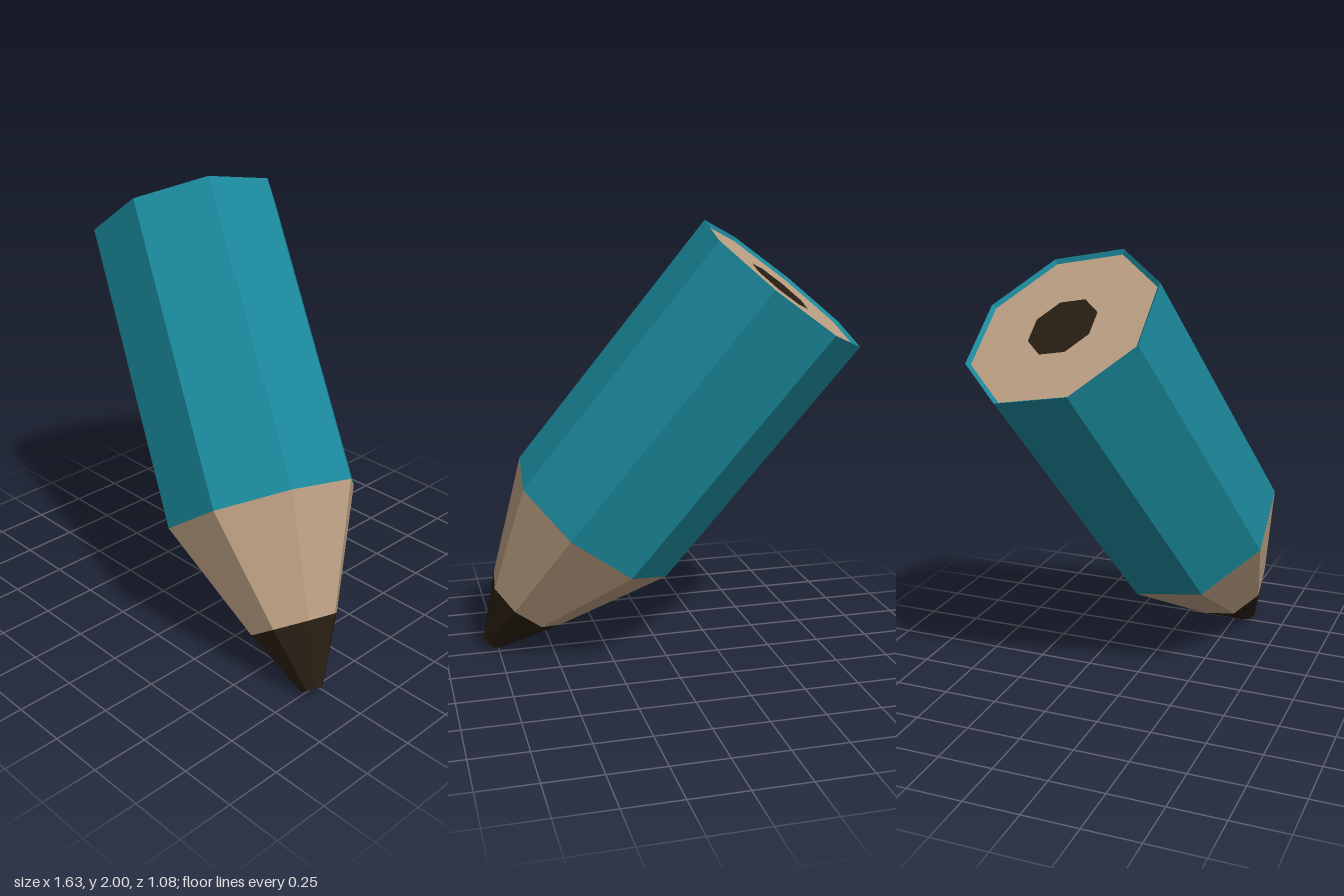
import * as THREE from 'three';

const SIDES = 8;

// One faceted section of the pencil, from [radius, distance below the blunt end] points,
// listed from the tip upwards.
function section(name, color, points) {
  const profile = points.map(([r, t]) => new THREE.Vector2(r, -t));
  const mesh = new THREE.Mesh(
    new THREE.LatheGeometry(profile, SIDES),
    new THREE.MeshStandardMaterial({ color, flatShading: true })
  );
  mesh.name = name;
  return mesh;
}

export function createModel() {
  const TEAL = 0x1a8799, WOOD = 0xbb9f82, LEAD = 0x271d12;
  const R = 0.433, bodyEnd = 1.367, woodEnd = 1.887, tipEnd = 2.168;
  const rimR = 0.415, rimDepth = 0.015, coreR = 0.155, leadR = 0.198;

  const pencil = new THREE.Group();
  pencil.name = 'pencil';
  pencil.add(
    // painted barrel with a thin lip sloping into the blunt end
    section('paintedBody', TEAL, [[R, bodyEnd], [R, 0], [rimR, rimDepth]]),
    // sharpened wooden cone
    section('woodCone', WOOD, [[leadR, woodEnd], [R, bodyEnd]]),
    // pointed lead with a small flat end
    section('leadTip', LEAD, [[0, tipEnd], [0.05, tipEnd], [leadR, woodEnd]]),
    // cut face at the blunt end: wood ring and lead core
    section('woodEnd', WOOD, [[rimR, rimDepth], [coreR, rimDepth]]),
    section('leadCore', LEAD, [[coreR, rimDepth], [0, rimDepth]])
  );

  // Lean the pencil along its axis, with one barrel edge turned towards xAxis
  const yAxis = new THREE.Vector3(-0.579, 0.788, -0.209).normalize();
  const xAxis = new THREE.Vector3(0.096, 0.173, 0.386);
  xAxis.addScaledVector(yAxis, -xAxis.dot(yAxis)).normalize();
  const zAxis = new THREE.Vector3().crossVectors(xAxis, yAxis);
  pencil.quaternion.setFromRotationMatrix(new THREE.Matrix4().makeBasis(xAxis, yAxis, zAxis));
  pencil.position.set(-0.478, 1.737, -0.146);

  const model = new THREE.Group();
  model.name = 'leaningPencil';
  model.add(pencil);
  return model;
}
